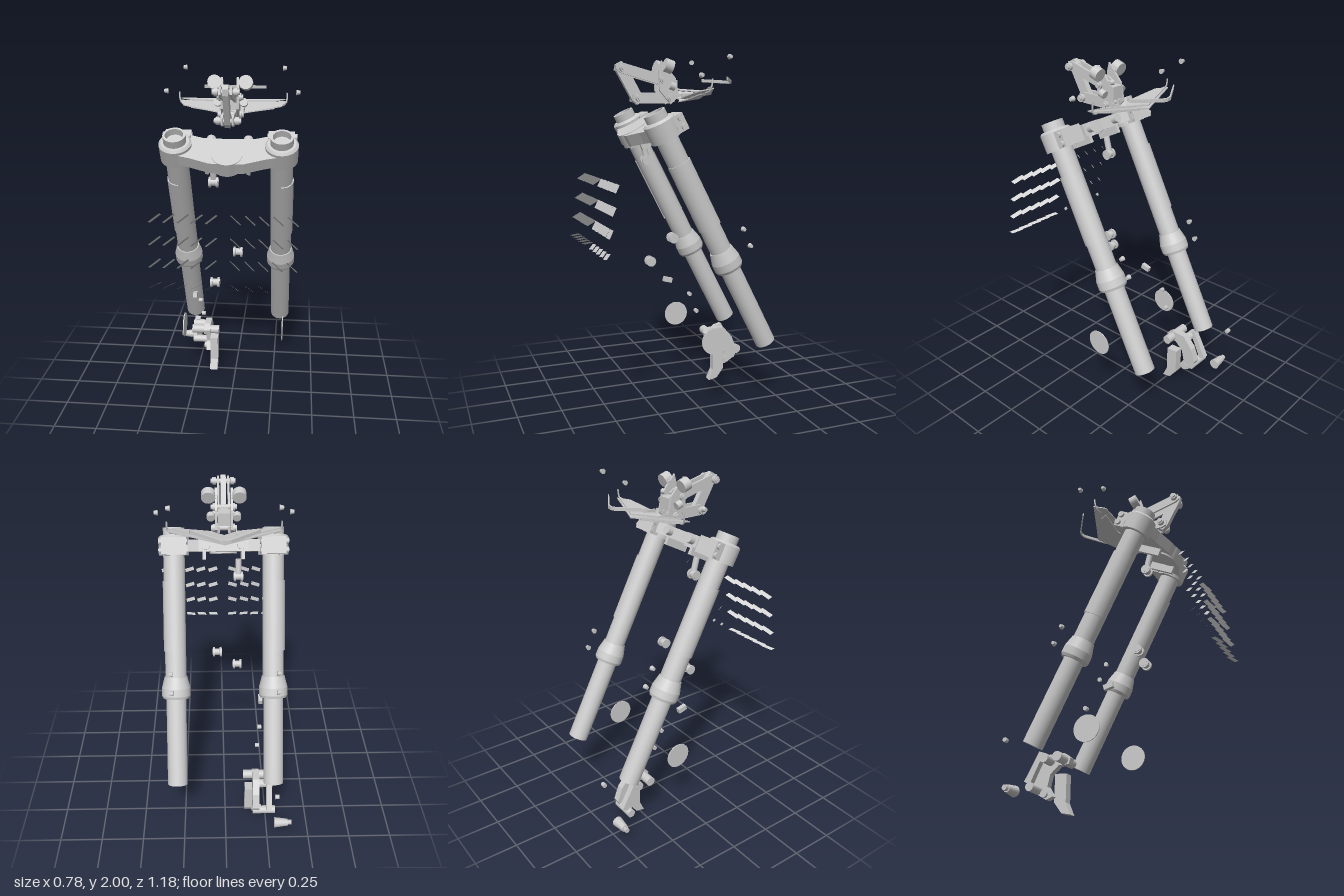
import * as THREE from 'three';

const V = (x, y, z) => new THREE.Vector3(x, y, z);
const TILT = 0.474;

export function createModel() {
  const model = new THREE.Group();
  const mat = new THREE.MeshStandardMaterial({ color: 0xcccccc, side: THREE.DoubleSide });

  const add = (name, geo, parent = model) => {
    const m = new THREE.Mesh(geo, mat);
    m.name = name;
    parent.add(m);
    return m;
  };
  // round bar from a to b, optionally tapered
  const bar = (name, a, b, r0, r1 = r0, seg = 20, parent = model) => {
    const d = b.clone().sub(a);
    const m = add(name, new THREE.CylinderGeometry(r1, r0, d.length(), seg), parent);
    m.position.copy(a).addScaledVector(d, 0.5);
    m.quaternion.setFromUnitVectors(V(0, 1, 0), d.normalize());
    return m;
  };
  const box = (name, w, h, d, x, y, z, parent = model) => {
    const m = add(name, new THREE.BoxGeometry(w, h, d), parent);
    m.position.set(x, y, z);
    return m;
  };
  const outline = (pts) => new THREE.Shape(pts.map(([u, v]) => new THREE.Vector2(u, v)));
  // side profile of [z, y] points, extruded from x0 to x1
  const sidePlate = (name, pts, x0, x1) => {
    const g = new THREE.ExtrudeGeometry(outline(pts), { depth: x1 - x0, bevelEnabled: false });
    g.rotateY(-Math.PI / 2).translate(x1, 0, 0);
    return add(name, g);
  };
  // flat profile of [x, z] points, extruded upward
  const flatPlate = (pts, h) => new THREE.ExtrudeGeometry(
    outline(pts.map(([x, z]) => [x, -z])), { depth: h, bevelEnabled: false }).rotateX(-Math.PI / 2);
  const creasedLathe = (name, pts, parent) => {
    for (let i = 0; i < pts.length - 1; i++) {
      add(name, new THREE.LatheGeometry([pts[i], pts[i + 1]].map(([r, y]) => new THREE.Vector2(r, y)), 40), parent);
    }
  };

  // raked fork: local y runs up the legs
  const fork = new THREE.Group();
  fork.name = 'fork';
  fork.position.set(0, 0.366, -0.403);
  fork.rotation.x = TILT;
  model.add(fork);

  for (const s of [-1, 1]) {
    const leg = new THREE.Group();
    leg.name = s > 0 ? 'leftLeg' : 'rightLeg';
    leg.position.x = 0.282 * s;
    fork.add(leg);
    creasedLathe('legTube', [[0, 0], [0.058, 0], [0.058, 0.53]], leg);
    creasedLathe('dustSeal', [[0.058, 0.515], [0.076, 0.515], [0.083, 0.53], [0.083, 0.575], [0.066, 0.64], [0.061, 0.64]], leg);
    creasedLathe('upperTube', [[0.061, 0.62], [0.061, 1.49], [0.048, 1.49], [0.045, 1.455], [0, 1.455]], leg);
    // half sleeve on the outer side
    const sleeve = add('outerSleeve', new THREE.CylinderGeometry(0.067, 0.067, 0.4, 24, 1, false, s > 0 ? 0 : Math.PI, Math.PI), leg);
    sleeve.position.y = 0.99;
    // clamp ring with pinch boss and bolts
    creasedLathe('clampRing', [[0.06, 1.335], [0.086, 1.335], [0.088, 1.435], [0.076, 1.447], [0.061, 1.447]], leg);
    box('pinchBoss', 0.14, 0.095, 0.06, -s * 0.005, 1.385, -0.088, leg);
    for (const y of [1.36, 1.41]) {
      bar('pinchBolt', V(-0.08, y, -0.097), V(0.08, y, -0.097), 0.017, 0.017, 12, leg);
    }
  }

  // upper bridge between the legs
  const half = [[0, 0.145], [0.09, 0.14], [0.2, 0.1], [0.27, 0.082], [0.27, -0.07], [0.2, -0.085], [0.14, -0.065], [0, -0.06]];
  const bridge = add('bridge', flatPlate([...half, ...half.slice(1, -1).reverse().map(([x, z]) => [-x, z])], 0.065), fork);
  bridge.position.y = 1.355;
  bar('stemBoss', V(0, 1.345, 0.075), V(0, 1.424, 0.075), 0.08, 0.08, 36, fork);
  for (const s of [-1, 1]) {
    box('bridgeRib', 0.02, 0.05, 0.16, s * 0.11, 1.335, 0.02, fork);
    bar('bridgeMount', V(s * 0.1, 1.39, -0.04), V(s * 0.1, 1.39, -0.1), 0.025, 0.025, 16, fork);
  }

  // four-bar bracket
  const A = [0.37, 1.93], B = [0.28, 1.77], C = [0.095, 1.77], D = [0.14, 1.87];
  const link = (name, p, q, w, x0, x1) => {
    const l = Math.hypot(q[0] - p[0], q[1] - p[1]);
    const u = [(q[0] - p[0]) / l, (q[1] - p[1]) / l], n = [-u[1], u[0]];
    const at = (o, a, b) => [o[0] + u[0] * a + n[0] * b, o[1] + u[1] * a + n[1] * b];
    sidePlate(name, [at(p, -w, -w * 0.6), at(p, 0, -w), at(q, 0, -w), at(q, w, -w * 0.6),
      at(q, w, w * 0.6), at(q, 0, w), at(p, 0, w), at(p, -w, w * 0.6)], x0, x1);
  };
  link('frontLink', A, B, 0.032, -0.015, 0.015);
  for (const s of [-1, 1]) {
    const lo = s > 0 ? 0.022 : -0.034;
    link('upperLink', A, D, 0.028, lo, lo + 0.012);
    link('lowerLink', B, C, 0.03, lo, lo + 0.012);
    const out = s > 0 ? 0.036 : -0.048;
    sidePlate('bracketCheek', [[0.15, 1.975], [0.065, 1.88], [0.045, 1.78], [0.095, 1.735], [0.16, 1.81], [0.165, 1.92]], out, out + 0.012);
    bar('roundMount', V(s * 0.083, 1.935, 0.1), V(s * 0.083, 1.95, 0.145), 0.037, 0.037, 28);
    bar('mountStalk', V(s * 0.04, 1.93, 0.12), V(s * 0.083, 1.94, 0.12), 0.013);
    bar('lowerMount', V(s * 0.07, 1.83, 0.08), V(s * 0.07, 1.84, 0.11), 0.022);
  }
  for (const [z, y] of [A, B, C, D]) {
    bar('pivotBolt', V(-0.07, y, z), V(0.07, y, z), 0.014, 0.014, 16);
    for (const s of [-1, 1]) bar('pivotNut', V(s * 0.04, y, z), V(s * 0.06, y, z), 0.021, 0.021, 16);
  }
  box('bracketBlock', 0.07, 0.07, 0.08, 0, 1.835, 0.09);

  // layered wing panel, a shallow V across the middle
  const wing = [[0, -0.17], [0.3, -0.055], [0.27, 0.015], [0.15, 0.035], [0.07, 0.045], [0.05, 0.03], [0, 0.0]];
  const inner = [[0, -0.1], [0.2, -0.05], [0.23, -0.005], [0.07, -0.0], [0, 0.03]];
  const rim = [[0, -0.165], [0.29, -0.055], [0.23, -0.05], [0, -0.13]];
  for (const s of [-1, 1]) {
    [[wing, 1.765, 0.14], [inner, 1.752, 0.14], [rim, 1.782, 0.13]].forEach(([pts, y0, rise]) => {
      const g = flatPlate(pts, 0.006), p = g.attributes.position;
      for (let i = 0; i < p.count; i++) p.setY(i, p.getY(i) + y0 + rise * p.getX(i) - 0.15 * p.getZ(i));
      g.computeVertexNormals();
      add('wingPanel', g).scale.x = s;
    });
    add('wingTip', new THREE.TubeGeometry(new THREE.CatmullRomCurve3([
      V(s * 0.25, 1.795, -0.03), V(s * 0.285, 1.805, -0.04), V(s * 0.297, 1.83, -0.045), V(s * 0.298, 1.868, -0.05)]), 12, 0.005, 6));
    box('wingRib', 0.006, 0.02, 0.08, s * 0.065, 1.785, 0);
  }

  // V-shaped strip behind the wing
  const strip = [[-0.178, -0.185], [-0.03, -0.278], [0, -0.286], [0.03, -0.278], [0.178, -0.185],
    [0.174, -0.195], [0.03, -0.287], [0, -0.293], [-0.03, -0.287], [-0.174, -0.195]];
  const sg = flatPlate(strip, 0.018), sp = sg.attributes.position;
  for (let i = 0; i < sp.count; i++) sp.setY(i, sp.getY(i) + 1.893 + 0.13 * sp.getZ(i));
  add('rearStrip', sg);

  // grid of slanted slats ahead of the fork
  for (const s of [-1, 1]) for (const x of [0.062, 0.137, 0.207, 0.28, 0.354]) for (let r = 0; r < 4; r++) {
    const c = V(s * x, 1.31 - 0.117 * r, 0.51 + 0.018 * r);
    const k = r === 3 ? 0.5 : 1;
    const u = V(-s * 0.027, 0.018 * k, -0.018), v = V(s * 0.003, 0.006 * k, 0.011);
    const g = new THREE.BufferGeometry().setFromPoints([[-1, -1], [1, -1], [1, 1], [-1, 1]].map(
      ([a, b]) => c.clone().addScaledVector(u, a).addScaledVector(v, b)));
    g.setIndex([0, 1, 2, 0, 2, 3]);
    g.computeVertexNormals();
    add('slat', g);
  }

  // thin side discs and small fasteners
  for (const s of [-1, 1]) {
    bar('sideDisc', V(s * 0.305 - 0.003, 0.413, -0.067), V(s * 0.305 + 0.003, 0.413, -0.067), 0.075, 0.075, 40);
    for (const [x, y, z] of [[0.28, 1.987, -0.16], [0.357, 1.883, 0.037], [0.3, 1.045, -0.245], [0.3, 0.947, -0.29]]) {
      bar('smallBolt', V(s * (x - 0.01), y, z), V(s * (x + 0.012), y, z), 0.015, 0.01, 10);
    }
  }
  for (const [x, y, z] of [[-0.21, 0.56, -0.122], [-0.197, 0.45, -0.163], [-0.29, 0.418, -0.573]]) {
    bar('smallBolt', V(x - 0.012, y, z), V(x + 0.012, y, z), 0.013, 0.013, 10);
  }
  box('smallBlock', 0.025, 0.03, 0.055, -0.222, 0.663, 0.02).rotation.x = -0.25;
  for (const [x, y, z] of [[-0.083, 0.82, 0.18], [0.04, 0.975, 0.085], [-0.085, 1.42, 0.2]]) {
    bar('bushing', V(x - 0.028, y, z), V(x + 0.028, y, z), 0.02);
    for (const e of [-0.026, 0.014]) bar('bushingFlange', V(x + e, y, z), V(x + e + 0.012, y, z), 0.029);
  }
  bar('hoseFitting', V(-0.085, 1.44, 0.2), V(-0.085, 1.52, 0.22), 0.018);

  // caliper below the right leg
  const arc = [[-0.21, 0.3], [-0.25, 0.33], [-0.34, 0.33], [-0.4, 0.26], [-0.43, 0.18], [-0.4, 0.115],
    [-0.35, 0.085], [-0.31, 0.1], [-0.345, 0.155], [-0.33, 0.22], [-0.28, 0.265], [-0.22, 0.265]];
  sidePlate('caliperArc', arc, -0.205, -0.165);
  sidePlate('caliperBracket', [[-0.33, 0.32], [-0.36, 0.33], [-0.445, 0.175], [-0.41, 0.155], [-0.38, 0.22]], -0.28, -0.245);
  sidePlate('caliperPad', [[-0.25, 0.225], [-0.32, 0.23], [-0.32, 0.075], [-0.275, 0.015], [-0.222, 0.005], [-0.25, 0.07]], -0.17, -0.12);
  bar('caliperPin', V(-0.285, 0.292, -0.25), V(-0.11, 0.292, -0.25), 0.027);
  bar('caliperPin', V(-0.285, 0.292, -0.33), V(-0.2, 0.292, -0.33), 0.026);
  bar('caliperPin', V(-0.3, 0.14, -0.4), V(-0.165, 0.14, -0.4), 0.024);
  bar('caliperPin', V(-0.22, 0.115, -0.36), V(-0.16, 0.115, -0.36), 0.02);
  bar('axleEnd', V(-0.37, 0.125, -0.493), V(-0.29, 0.125, -0.493), 0.021, 0.031);
  bar('axleEnd', V(-0.393, 0.125, -0.493), V(-0.37, 0.125, -0.493), 0.016, 0.016, 6);
  return model;
}
